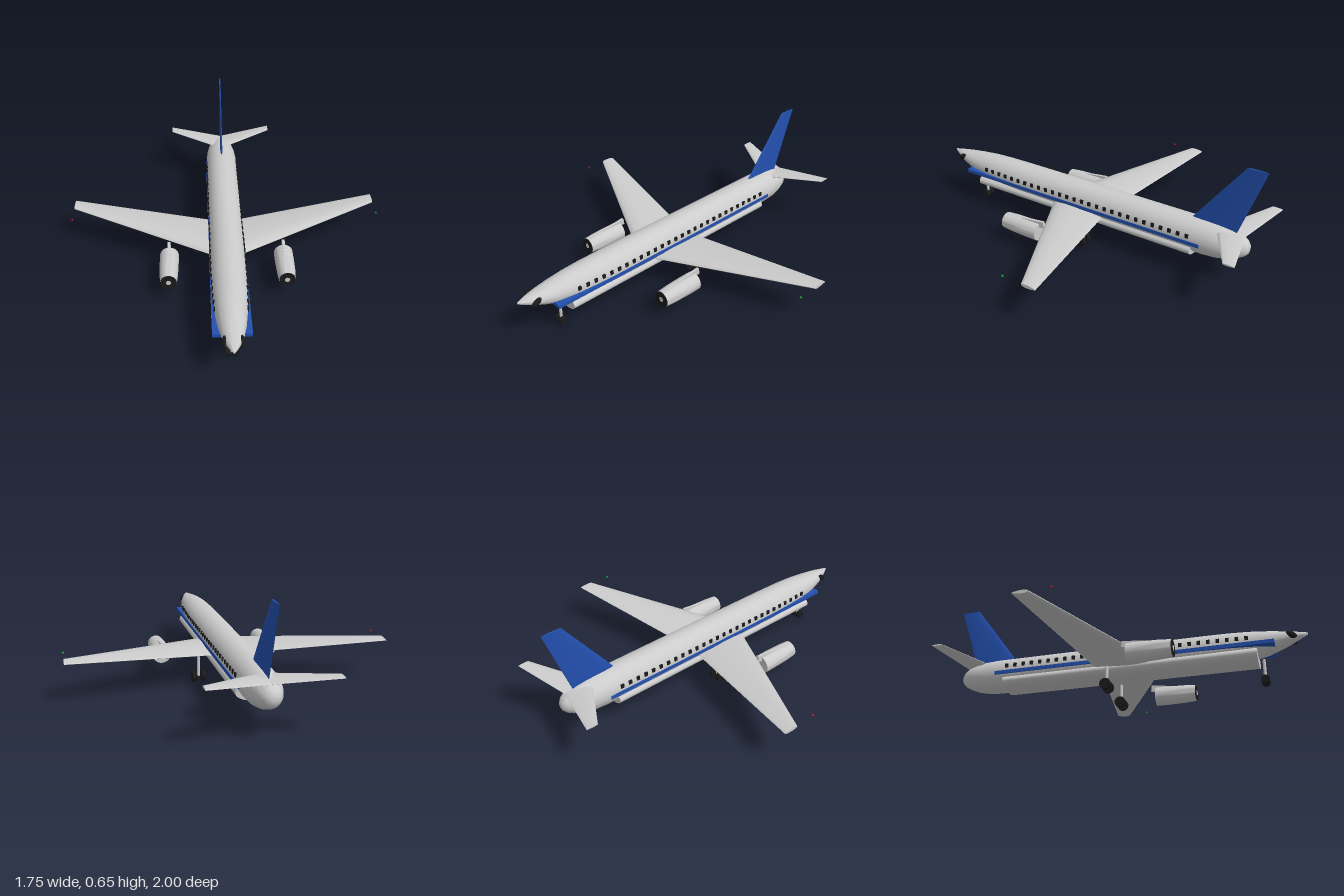
import * as THREE from 'three';
import { toCreasedNormals } from 'three/addons/utils/BufferGeometryUtils.js';

const mat = (color) => new THREE.MeshStandardMaterial({ color });

// Skin a list of equal-sized closed rings of Vector3, capped at both ends.
function loft(rings, crease) {
  const n = rings[0].length, pts = rings.flat(), idx = [];
  for (let i = 0; i < rings.length - 1; i++) {
    for (let j = 0; j < n; j++) {
      const a = i * n + j, b = i * n + (j + 1) % n;
      idx.push(a, b, a + n, b, b + n, a + n);
    }
  }
  const last = (rings.length - 1) * n;
  for (let j = 1; j < n - 1; j++) {
    idx.push(0, j + 1, j, last, last + j, last + j + 1);
  }
  // Turn the faces outward whichever way the rings run.
  let volume = 0;
  for (let k = 0; k < idx.length; k += 3) {
    volume += pts[idx[k]].dot(pts[idx[k + 1]].clone().cross(pts[idx[k + 2]]));
  }
  if (volume < 0) idx.reverse();
  const g = new THREE.BufferGeometry().setFromPoints(pts);
  g.setIndex(idx);
  return toCreasedNormals(g, crease);
}

// Airfoil ring: place(chord position along z, half thickness) gives each point.
function airfoil(zFront, zBack, thickness, place) {
  const ring = [], steps = 10;
  for (let i = 0; i < 2 * steps; i++) {
    const a = (i / steps) * Math.PI;
    const t = (1 - Math.cos(a)) / 2; // 0 at the leading edge, 1 at the trailing edge
    const h = Math.sin(a) * (1 - 0.55 * t) * thickness * 0.68;
    ring.push(place(zFront + (zBack - zFront) * t, h));
  }
  return ring;
}

// Surface between root and tip stations: [x, y, zFront, zBack, thickness]
function panel(stations, side) {
  return loft(stations.map(([x, y, zf, zb, th]) =>
    airfoil(zf, zb, th, (z, h) => new THREE.Vector3(side * x, y + h, z))), 0.9);
}

export function createModel() {
  const model = new THREE.Group();
  const grey = mat(0xcccccc), blue = mat(0x2450b0), black = mat(0x1a1a1a);

  function add(name, geometry, material, x = 0, y = 0, z = 0, parent = model) {
    const m = new THREE.Mesh(geometry, material);
    m.name = name;
    m.position.set(x, y, z);
    parent.add(m);
    return m;
  }

  // Fuselage stations: z, bottom, top, half width
  const body = [
    [1.0, 0.255, 0.265, 0.004], [0.97, 0.24, 0.269, 0.02], [0.93, 0.22, 0.274, 0.038],
    [0.88, 0.197, 0.281, 0.053], [0.8, 0.165, 0.291, 0.069], [0.7, 0.141, 0.3, 0.081],
    [0.6, 0.126, 0.304, 0.088], [0.45, 0.115, 0.305, 0.093], [0.1, 0.115, 0.305, 0.094],
    [-0.3, 0.115, 0.305, 0.094], [-0.72, 0.115, 0.305, 0.093], [-0.79, 0.119, 0.301, 0.088],
    [-0.85, 0.132, 0.292, 0.077], [-0.9, 0.152, 0.277, 0.06], [-0.93, 0.17, 0.259, 0.042],
    [-0.946, 0.188, 0.24, 0.024], [-0.952, 0.21, 0.218, 0.004],
  ];
  add('fuselage', loft(body.map(([z, lo, hi, rx]) =>
    Array.from({ length: 40 }, (_, i) => {
      const a = (i / 40) * Math.PI * 2;
      return new THREE.Vector3(Math.cos(a) * rx, (lo + hi) / 2 + Math.sin(a) * (hi - lo) / 2, z);
    })), 1.2), grey);

  // Belly fairing
  const bellyGeo = new THREE.CylinderGeometry(1, 1, 1.405, 40).rotateX(Math.PI / 2);
  add('bellyFairing', bellyGeo, grey, 0, 0.15, 0.037).scale.set(0.097, 0.043, 1);

  // Blue stripe slab running through the fuselage
  add('stripe', new THREE.BoxGeometry(0.194, 0.02, 1.545), blue, 0, 0.198, 0.058);

  // Tail fin
  const finStations = [[0.28, -0.612, -0.873, 0.014], [0.655, -0.893, -1.0, 0.009]];
  add('tailFin', loft(finStations.map(([y, zf, zb, th]) =>
    airfoil(zf, zb, th, (z, h) => new THREE.Vector3(h, y, z))), 0.9), blue);

  // Shared geometry for the paired parts
  const windowGeo = new THREE.BoxGeometry(0.008, 0.022, 0.018);
  const nacelleGeo = new THREE.LatheGeometry([
    [0, -0.115], [0.052, -0.115], [0.0525, -0.05], [0.05, 0.05], [0.045, 0.115], [0, 0.115],
  ].map(([r, y]) => new THREE.Vector2(r, y)), 32).rotateX(Math.PI / 2);
  const nacelle = toCreasedNormals(nacelleGeo, 0.7);
  const disc = (r, d) => new THREE.CylinderGeometry(r, r, d, 28).rotateX(Math.PI / 2);

  // Landing gear: strut, axle and two wheels
  function landingGear(name, x, z, r, width, offset) {
    const gear = new THREE.Group();
    gear.name = name;
    gear.position.set(x, 0, z);
    model.add(gear);
    add('strut', new THREE.CylinderGeometry(0.008, 0.008, 0.14 - r, 14), grey, 0, (0.14 + r) / 2, 0, gear);
    add('axle', new THREE.CylinderGeometry(0.006, 0.006, offset * 2, 12).rotateZ(Math.PI / 2), black, 0, r, 0, gear);
    for (const s of [-1, 1]) {
      add('wheel', new THREE.CylinderGeometry(r, r, width, 24).rotateZ(Math.PI / 2), black, s * offset, r, 0, gear);
    }
  }
  landingGear('noseGear', 0, 0.765, 0.023, 0.022, 0.017);

  for (const s of [-1, 1]) {
    const label = s > 0 ? 'left' : 'right';

    // Wings and tailplane
    add(label + 'Wing', panel([[0, 0.165, 0.234, -0.114, 0.04], [0.87, 0.227, -0.19, -0.273, 0.018]], s), grey);
    add(label + 'Tailplane', panel([[0, 0.276, -0.762, -0.92, 0.02], [0.315, 0.304, -0.935, -0.996, 0.009]], s), grey);

    // Engine with intake, hub and pylon
    const engine = new THREE.Group();
    engine.name = label + 'Engine';
    engine.position.set(s * 0.317, 0.118, 0.235);
    model.add(engine);
    add('nacelle', nacelle, grey, 0, 0, 0, engine);
    add('intake', disc(0.044, 0.008), black, 0, 0, 0.115, engine);
    add('hub', disc(0.014, 0.012), grey, 0, 0, 0.115, engine);
    add('pylon', new THREE.BoxGeometry(0.016, 0.035, 0.15), grey, 0, 0.043, -0.07, engine).rotation.x = 0.12;

    landingGear(label + 'MainGear', s * 0.14, -0.042, 0.03, 0.022, 0.026);

    // Cabin windows
    for (let i = 0; i < 28; i++) {
      const z = 0.69 - i * 0.0494;
      const x = z > 0.45 ? 0.092 - (z - 0.45) * 0.041 : 0.092;
      add(label + 'CabinWindow', windowGeo, black, s * x, 0.235, z);
    }

    // Cockpit window
    const pane = add(label + 'CockpitWindow', new THREE.SphereGeometry(1, 20, 14), black, s * 0.04, 0.246, 0.916);
    pane.scale.set(0.013, 0.017, 0.031);
    pane.rotation.x = 0.5;

    // Navigation light ahead of the wing tip
    add(label + 'NavigationLight', new THREE.SphereGeometry(0.006, 12, 8),
      mat(s > 0 ? 0x10a040 : 0xc01828), s * 0.868, 0.23, -0.08);
  }
  return model;
}
